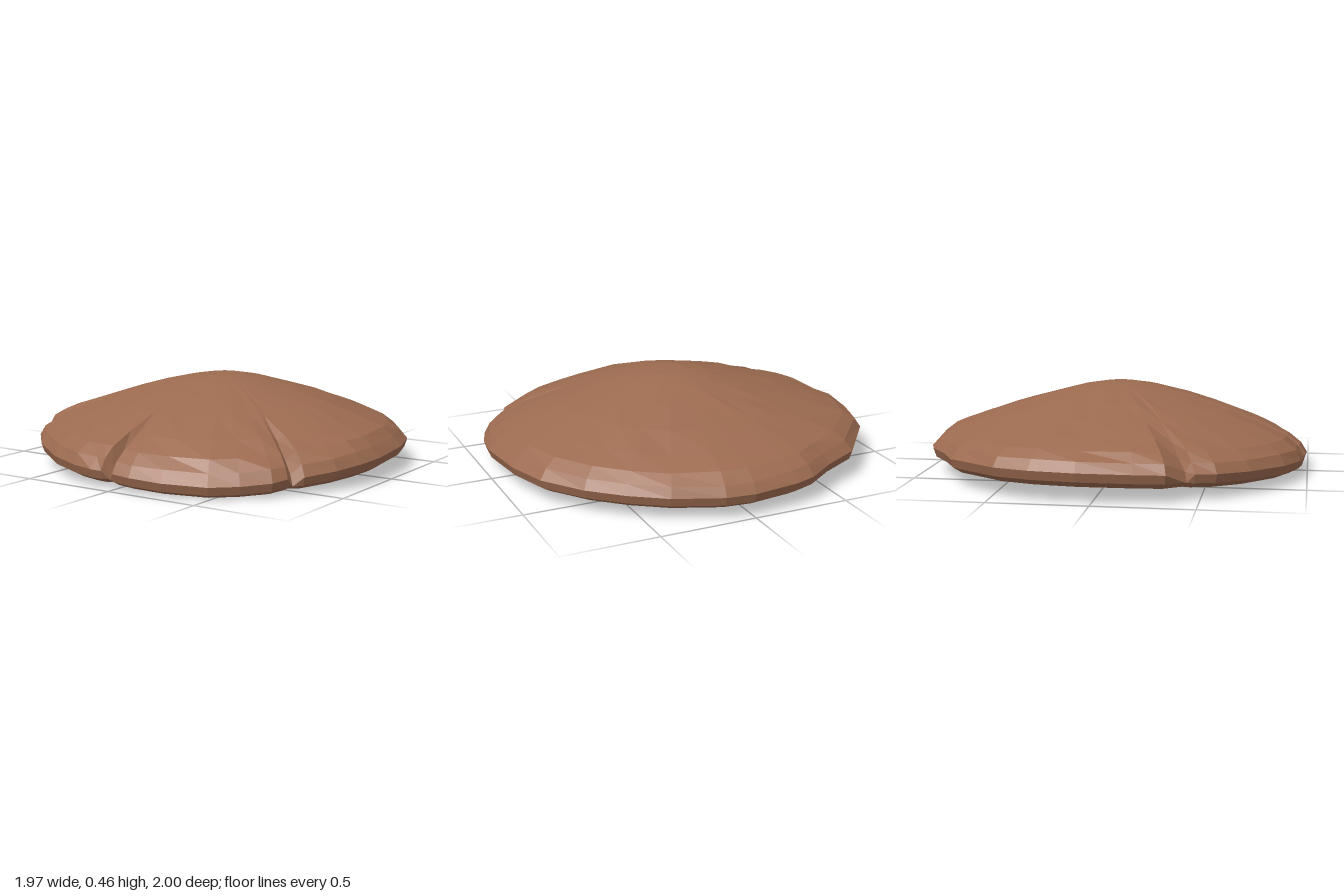
import * as THREE from 'three';

// Rim seen from above as [x, z], running from the left side round the front; a third value marks a split.
const RIM = [
  [0.98, 0.1], [0.96, 0.25], [0.91, 0.4], [0.82, 0.55], [0.77, 0.575, 1], [0.765, 0.61], [0.73, 0.69],
  [0.62, 0.8], [0.5, 0.89], [0.29, 0.97], [0.12, 0.995], [0.02, 0.99], [-0.03, 0.95, 1], [-0.06, 0.98],
  [-0.12, 0.985], [-0.24, 0.965], [-0.43, 0.89], [-0.66, 0.73], [-0.8, 0.58], [-0.84, 0.48],
  [-0.83, 0.44, 1], [-0.93, 0.35], [-0.96, 0.2], [-0.99, -0.07], [-0.97, -0.3], [-0.91, -0.48],
  [-0.69, -0.75], [-0.5, -0.84], [-0.35, -0.94], [-0.24, -0.975], [0, -1], [0.15, -0.98],
  [0.39, -0.88], [0.57, -0.76], [0.73, -0.62], [0.88, -0.42], [0.95, -0.2],
];

// Rim radius evened out over neighbouring points, used towards the middle of the dome
const EVEN = RIM.map((_, j) => {
  let sum = 0;
  for (let d = -3; d <= 3; d++) {
    const [x, z] = RIM[(j + d + RIM.length) % RIM.length];
    sum += Math.hypot(x, z);
  }
  return sum / 7;
});

// Repeatable noise from -1 to 1
const noise = (i, j) => {
  const s = Math.sin(i * 127.1 + j * 311.7) * 43758.5453;
  return (s - Math.floor(s)) * 2 - 1;
};

// Uneven height of the rim
const lift = (x, z) =>
  0.03 * x * x - 0.012 * x - 0.015 * z - 0.035 * Math.max(0, 0.62 * x + 0.78 * z) ** 6;

// Joins rows of equal length into a faceted skin; row 0 is nearest the start of the section.
function skin(rows) {
  const n = rows[0].length, index = [];
  for (let i = 0; i < rows.length - 1; i++) {
    for (let j = 0; j < n; j++) {
      const a = i * n + j, b = i * n + (j + 1) % n;
      index.push(a, b, a + n, b, b + n, a + n);
    }
  }
  const geo = new THREE.BufferGeometry();
  geo.setAttribute('position', new THREE.Float32BufferAttribute(rows.flat(2), 3));
  geo.setIndex(index);
  const flat = geo.toNonIndexed();
  flat.computeVertexNormals();
  return flat;
}

export function createModel() {
  const group = new THREE.Group();
  const capBrown = new THREE.MeshStandardMaterial({ color: 0x9c6b50, flatShading: true });
  capBrown.name = 'cap brown';
  const gillGrey = new THREE.MeshStandardMaterial({ color: 0x897d6d, flatShading: true });
  gillGrey.name = 'gill grey';

  // Cap: domed top, rounded rim and turned-in lip, as [radius, height]
  const capSection = [
    [0, 0.462], [0.1, 0.459], [0.22, 0.438], [0.4, 0.39], [0.6, 0.328], [0.78, 0.262], [0.9, 0.212],
    [0.965, 0.165], [1, 0.112], [0.985, 0.068], [0.94, 0.043], [0.89, 0.042], [0.875, 0.06],
  ];
  const capRows = capSection.map(([r, y], i) => RIM.map(([x, z, split], j) => {
    const rough = i > 2 && i < 8 ? 1 : 0;
    const outer = THREE.MathUtils.smoothstep(r, 0.6, 0.95);
    const even = EVEN[j] / Math.hypot(x, z);
    const k = r * (THREE.MathUtils.lerp(even, 1, outer) + rough * 0.012 * noise(i + 20, j));
    const crack = split && i < 9 ? 0.045 * THREE.MathUtils.smoothstep(r, 0.66, 0.9) : 0;
    return [x * k, y + lift(x, z) * r ** 3 + rough * 0.004 * noise(i, j) - crack, z * k];
  }));
  const cap = new THREE.Mesh(skin(capRows), capBrown);
  cap.name = 'cap';

  // Gills: the lip's inner edge divided finely, rising in ragged folds to a flat, smooth hub
  const lip = capRows[capRows.length - 1];
  const edge = lip.flatMap((p, j) => {
    const q = lip[(j + 1) % lip.length];
    return [0, 0.5].map((t) => p.map((v, c) => v + (q[c] - v) * t));
  });
  const hub = [0.04, 0.225, -0.04];
  // Section as [share of edge radius, rise towards hub, raggedness]
  const gillSection = [[1, 0, 0], [0.9, 0.3, 0.014], [0.76, 0.6, 0.02], [0.58, 0.84, 0.012], [0.4, 0.95, 0.003], [0, 1, 0]];
  const gillRows = gillSection.map(([r, rise, rough], i) => edge.map(([x, y, z], j) => {
    const k = r + (rough ? 0.04 * noise(i + 50, j) : 0);
    const fold = rough * (0.5 * (j % 2 ? 1 : -1) + 0.7 * noise(i + 40, j));
    return [
      hub[0] + (x - hub[0]) * k,
      y + (hub[1] - y) * rise + fold,
      hub[2] + (z - hub[2]) * k,
    ];
  }));
  const gills = new THREE.Mesh(skin(gillRows), gillGrey);
  gills.name = 'gills';

  group.add(cap, gills);
  // Rest the lowest point on the ground
  group.position.y = -new THREE.Box3().setFromObject(group).min.y;
  return group;
}
